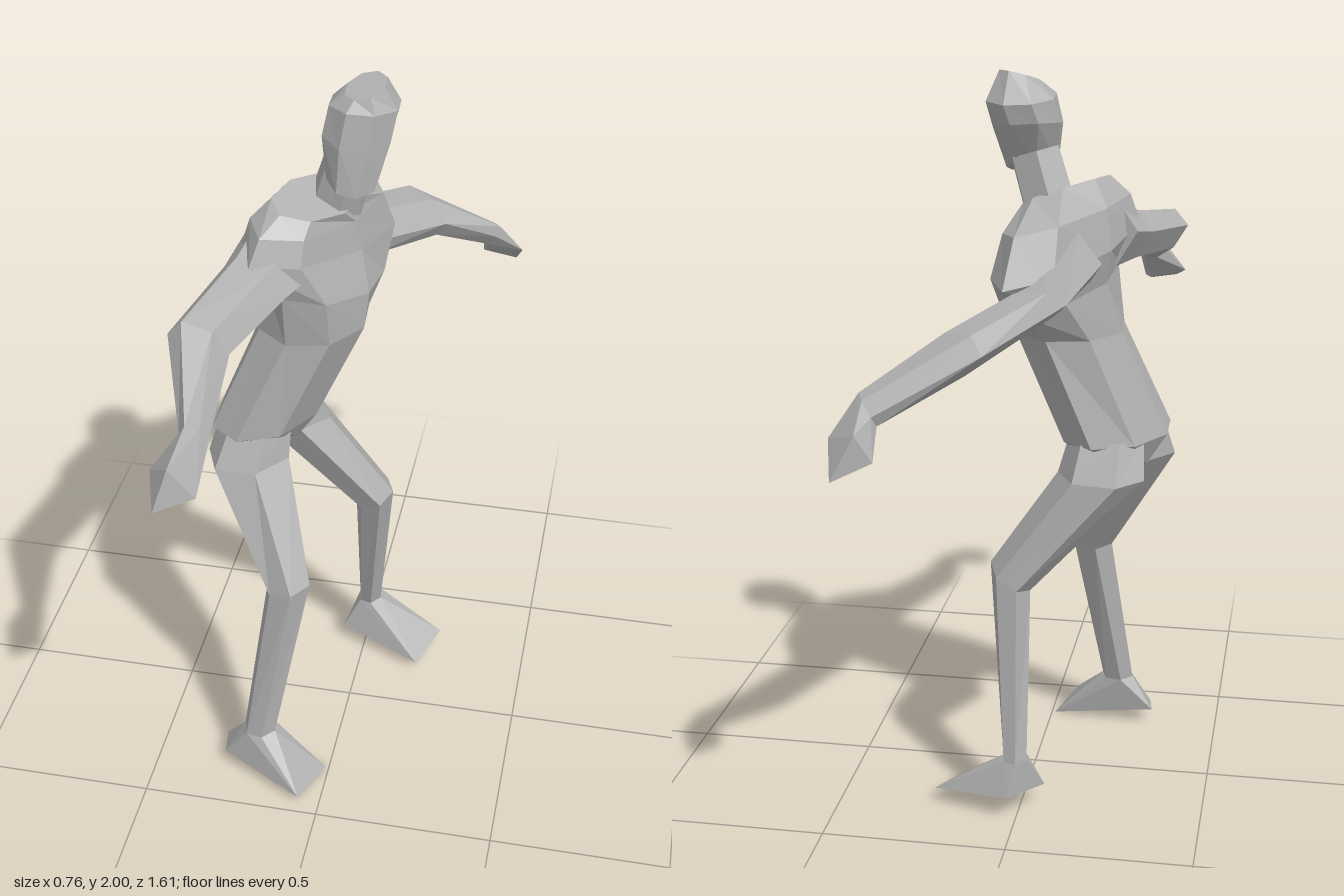
import * as THREE from 'three';
import { ConvexGeometry } from 'three/addons/geometries/ConvexGeometry.js';

const V = (p) => new THREE.Vector3(...p);

// Ring of n points around a centre, spanned by two half-axis vectors
function ringPoints([c, a, b], n) {
  return Array.from({ length: n }, (_, i) => {
    const t = (i / n) * Math.PI * 2;
    return V(c).addScaledVector(V(a), Math.cos(t)).addScaledVector(V(b), Math.sin(t));
  });
}

// Closed, faceted skin through a list of rings
function loft(rings, n) {
  const loops = rings.map((r) => ringPoints(r, n));
  const tris = [];
  for (let k = 0; k < loops.length - 1; k++) {
    for (let i = 0; i < n; i++) {
      const j = (i + 1) % n;
      const [p, q, r, s] = [loops[k][i], loops[k][j], loops[k + 1][j], loops[k + 1][i]];
      tris.push([p, s, r], [p, r, q]);
    }
  }
  const last = loops[loops.length - 1];
  for (let i = 1; i < n - 1; i++) {
    tris.push([loops[0][0], loops[0][i], loops[0][i + 1]]);
    tris.push([last[0], last[i + 1], last[i]]);
  }
  // Turn the faces outward whatever way the rings run
  const mid = V(rings[0][0]);
  let volume = 0;
  for (const [p, q, r] of tris) {
    volume += p.clone().sub(mid).dot(q.clone().sub(mid).cross(r.clone().sub(mid)));
  }
  if (volume < 0) tris.forEach((t) => t.reverse());
  const geometry = new THREE.BufferGeometry().setFromPoints(tris.flat());
  geometry.computeVertexNormals();
  return geometry;
}

export function createModel() {
  const group = new THREE.Group();
  const grey = new THREE.MeshStandardMaterial({ color: 0xb0b0b0, flatShading: true });
  grey.name = 'plain grey';

  const add = (name, geometry) => {
    const mesh = new THREE.Mesh(geometry, grey);
    mesh.name = name;
    group.add(mesh);
  };
  // A limb, ended by a faceted hand or foot that grows from its last ring
  const limb = (name, endName, rings, tips) => {
    add(name, loft(rings, 6));
    const joint = ringPoints(rings[rings.length - 1], 6);
    add(endName, new ConvexGeometry([...joint, ...tips.map(V)]));
  };

  // Torso, from crotch to collar: centre, forward half-axis, sideways half-axis
  add('torso', loft([
    [[-0.23, 0.945, -0.03], [0.08, 0, 0.01], [-0.01, 0, 0.04]],
    [[-0.23, 1.03, -0.02], [0.135, 0, 0.01], [-0.05, 0, 0.18]],
    [[-0.105, 1.32, -0.05], [0.14, 0, 0.03], [-0.045, 0, 0.157]],
    [[-0.08, 1.44, -0.075], [0.125, -0.02, 0.04], [-0.07, 0.035, 0.205]],
    [[-0.1, 1.54, -0.1], [0.12, -0.01, 0.035], [-0.12, 0.05, 0.285]],
    [[-0.1, 1.635, -0.09], [0.105, -0.02, 0.03], [-0.1, 0.02, 0.24]],
    [[-0.09, 1.69, -0.035], [0.075, -0.03, 0.02], [-0.07, 0.005, 0.125]],
  ], 8));

  // Neck and head, leaning forward
  add('neck', loft([
    [[-0.05, 1.66, -0.09], [0.065, -0.03, 0.02], [-0.02, 0, 0.075]],
    [[-0.01, 1.79, -0.075], [0.065, -0.02, 0.02], [-0.02, 0, 0.065]],
  ], 6));
  add('head', loft([
    [[0, 1.75, -0.045], [0.06, -0.02, 0.03], [-0.03, -0.015, 0.07]],
    [[0.005, 1.86, -0.085], [0.088, -0.01, 0.03], [-0.03, -0.01, 0.098]],
    [[0.02, 1.93, -0.1], [0.088, 0, 0.03], [-0.03, 0.01, 0.095]],
    [[0.025, 1.983, -0.085], [0.05, 0.006, 0.02], [-0.02, -0.016, 0.055]],
  ], 8));

  // Arms stretched out to either side, growing out of broad shoulders
  limb('frontArm', 'frontHand', [
    [[-0.16, 1.56, 0], [0.115, -0.02, 0.03], [0, 0.1, 0.01]],
    [[-0.215, 1.53, 0.15], [0.085, -0.02, 0.03], [0, 0.07, 0.02]],
    [[-0.295, 1.495, 0.4], [0.077, -0.02, 0], [0, 0.062, 0.01]],
    [[-0.245, 1.4, 0.64], [0.038, 0, 0], [0, 0.036, 0.015]],
  ], [
    [-0.345, 1.32, 0.69], [-0.31, 1.28, 0.8], [-0.22, 1.29, 0.74],
    [-0.28, 1.38, 0.76], [-0.24, 1.29, 0.7],
  ]);
  limb('backArm', 'backHand', [
    [[-0.09, 1.52, -0.18], [0.115, -0.01, 0.03], [0, 0.1, -0.04]],
    [[-0.05, 1.445, -0.32], [0.085, -0.01, 0.03], [0, 0.05, -0.06]],
    [[0.1, 1.38, -0.575], [0.075, -0.01, 0.05], [-0.01, 0.06, -0.01]],
    [[0.29, 1.265, -0.68], [0.015, 0.01, 0.032], [0.02, 0.036, 0]],
  ], [
    [0.26, 1.16, -0.765], [0.355, 1.12, -0.805], [0.38, 1.2, -0.715],
    [0.275, 1.2, -0.695], [0.3, 1.23, -0.78],
  ]);

  // Legs, bent at the knee
  limb('frontLeg', 'frontFoot', [
    [[-0.25, 1.04, 0.055], [0.1, 0, 0], [-0.01, 0, 0.08]],
    [[-0.265, 0.94, 0.085], [0.112, 0, 0], [-0.02, 0, 0.105]],
    [[-0.125, 0.625, 0.24], [0.064, 0.02, 0.02], [-0.01, 0.01, 0.08]],
    [[-0.2, 0.14, 0.325], [0.046, 0, 0.01], [-0.01, 0, 0.046]],
  ], [
    [-0.31, 0.05, 0.28], [-0.3, 0.045, 0.35],
    [-0.01, 0, 0.315], [-0.06, 0.02, 0.465],
  ]);
  limb('backLeg', 'backFoot', [
    [[-0.21, 1.04, -0.11], [0.1, 0, 0], [-0.01, 0, 0.08]],
    [[-0.2, 0.94, -0.145], [0.118, 0, 0.02], [-0.01, 0, 0.1]],
    [[0.04, 0.65, -0.175], [0.058, 0.03, 0.02], [0, 0, 0.078]],
    [[0.01, 0.16, -0.285], [0.034, 0, 0.01], [-0.01, 0, 0.044]],
  ], [
    [-0.065, 0.06, -0.24], [0.02, 0.07, -0.355],
    [0.235, 0.045, -0.285], [0.18, 0.025, -0.145],
  ]);

  return group;
}
